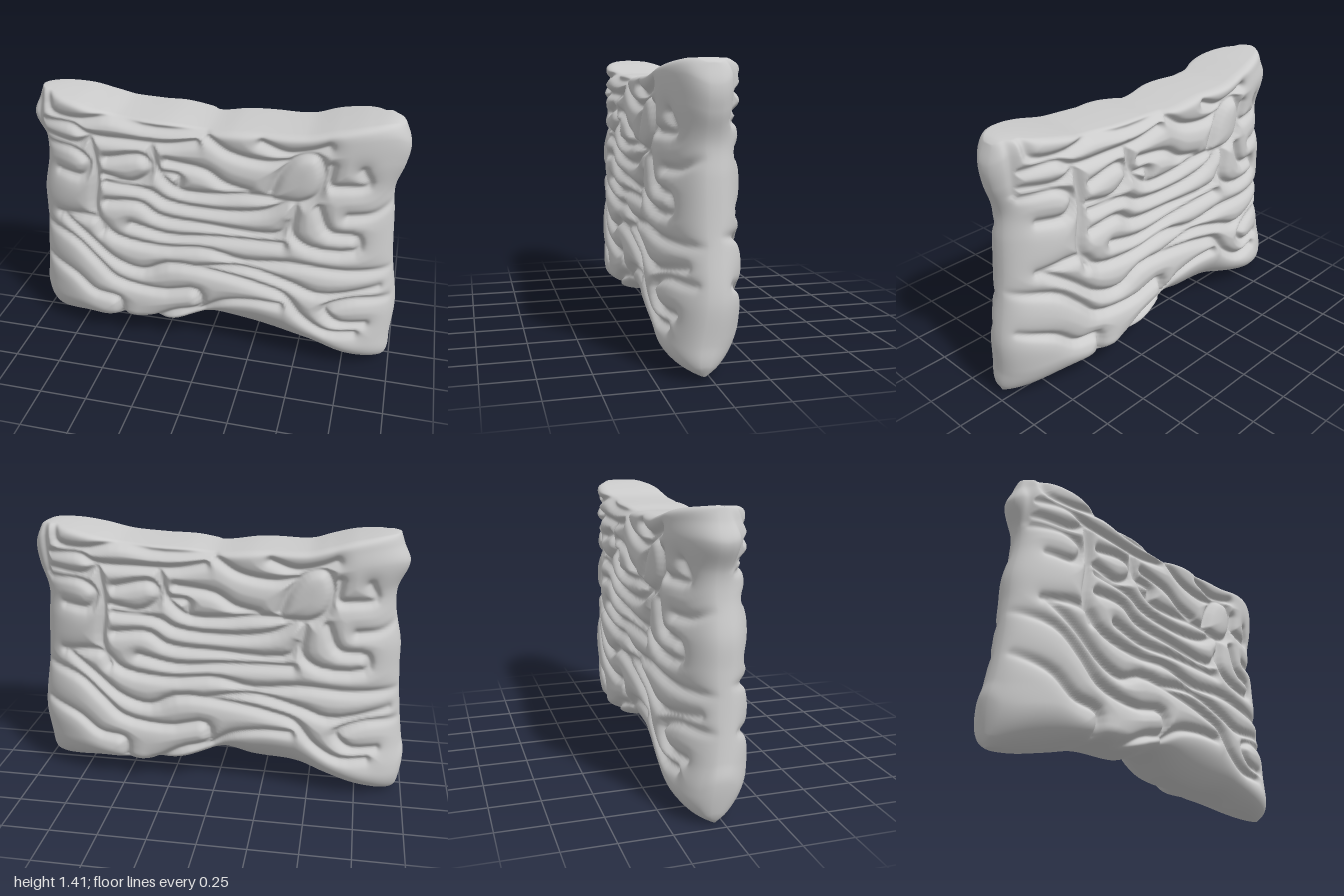
import * as THREE from 'three';
import { mergeVertices } from 'three/addons/utils/BufferGeometryUtils.js';

// Grooves between the ridges, each a run of x, y pairs on the face
const upperGrooves = [
  [-.84, 1.4, -.82, 1.32, -.68, 1.3, -.5, 1.33, -.3, 1.3, 0, 1.3],
  [-.9, 1.4, -.9, 1.3, -.89, 1.15],
  [-.87, 1.26, -.7, 1.27, -.62, 1.23, -.4, 1.22, -.2, 1.22, -.05, 1.25],
  [.01, 1.28, .12, 1.21, .3, 1.18, .42, 1.2],
  [.28, 1.28, .4, 1.24, .52, 1.26, .6, 1.29],
  [-.88, 1.18, -.68, 1.17, -.6, 1.22],
  [-.87, 1.13, -.7, 1.13, -.62, 1.07, -.66, .99, -.8, .99],
  [-.6, 1.2, -.58, 1, -.6, .8, -.56, .68],
  [-.54, 1.01, -.38, .99, -.28, 1.07, -.32, 1.14, -.52, 1.11],
  [-.28, 1.22, -.25, 1.08, -.15, .98, .05, .97, .2, .99, .34, .99],
  [-.2, 1.13, 0, 1.1, .1, 1.04, .22, 1.01],
  [-.22, 1.06, -.14, 1.05, -.14, .99],
];
const middleGrooves = [
  [.33, 1.02, .38, 1.14, .46, 1.23, .55, 1.24, .59, 1.14, .56, 1.03, .48, .98, .36, .98],
  [.62, 1.19, .62, 1.09, .7, 1.08, .8, 1.09, .77, 1.17],
  [.46, .96, .45, .8, .54, .73, .78, .73, .77, .8, .63, .83, .57, .96],
  [-.53, .97, -.3, .95, -.2, .9, .1, .88, .3, .91, .41, .97],
  [-.53, .86, -.35, .87, -.25, .81, 0, .79, .38, .79, .43, .86],
  [-.4, .74, -.2, .7, .05, .72, .4, .73],
  [-.82, .73, -.6, .75, -.5, .66, -.25, .62, 0, .64, .2, .6, .45, .62, .7, .6, .95, .6],
  [.72, .92, .84, .93, .93, .98],
];
const lowerGrooves = [
  [-.8, .73, -.65, .62, -.5, .5, -.35, .46, -.2, .52, .1, .5, .3, .46, .42, .42, .52, .3, .65, .22, .8, .22],
  [-.94, .64, -.74, .59, -.61, .48, -.5, .38, -.25, .34, -.05, .37, -.03, .27, -.18, .21, -.32, .13],
  [-.93, .42, -.76, .36, -.64, .27, -.5, .24, -.49, .14],
  [-.05, .52, .2, .56, .45, .5, .6, .45, .9, .5],
  [.95, .43, .76, .43, .64, .37, .7, .29, .85, .28],
  [-.02, .25, .1, .32, .25, .35, .4, .35],
];
const grooves = [...upperGrooves, ...middleGrooves, ...lowerGrooves].map(run => {
  const pts = [];
  for (let i = 0; i < run.length; i += 2) pts.push(new THREE.Vector3(run[i], run[i + 1], 0));
  return new THREE.CatmullRomCurve3(pts).getPoints(pts.length * 3);
});

// Smooth interpolation through [position, value] pairs
function profile(pairs) {
  return t => {
    let i = 0;
    while (i < pairs.length - 2 && t > pairs[i + 1][0]) i++;
    const at = k => pairs[Math.max(0, Math.min(pairs.length - 1, k))];
    const slope = k => (at(k + 1)[1] - at(k - 1)[1]) / (at(k + 1)[0] - at(k - 1)[0]);
    const [a, b] = [at(i), at(i + 1)], h = b[0] - a[0];
    const s = Math.max(0, Math.min(1, (t - a[0]) / h)), s2 = s * s, s3 = s2 * s;
    return (2 * s3 - 3 * s2 + 1) * a[1] + (s3 - 2 * s2 + s) * h * slope(i)
      + (3 * s2 - 2 * s3) * b[1] + (s3 - s2) * h * slope(i + 1);
  };
}

// Outline of the slab
const bottomEdge = profile([[-1, .05], [-.96, .005], [-.8, .02], [-.6, .07], [-.45, .11], [-.2, .125], [-.02, .18], [.2, .125], [.4, .095], [.58, .085], [.77, .04], [.95, .025], [1, .05]]);
const topEdge = profile([[-1, 1.39], [-.9, 1.415], [-.7, 1.395], [-.56, 1.36], [-.45, 1.335], [-.2, 1.33], [0, 1.31], [.15, 1.325], [.48, 1.34], [.64, 1.375], [.78, 1.4], [.9, 1.405], [.96, 1.37], [1, 1.32]]);
const leftEdge = profile([[0, -.95], [.03, -.98], [.12, -1], [.2, -.985], [.36, -.96], [.5, -.945], [.6, -.94], [.72, -.905], [.8, -.905], [.9, -.955], [.96, -.92], [1, -.9]]);
const rightEdge = profile([[0, .96], [.03, .983], [.1, .985], [.25, .995], [.46, .955], [.64, .936], [.74, .925], [.86, .965], [.95, .975], [1, .94]]);

// Underside bevel height, deepest beside the middle where the arch is carved away
const bevel = profile([[-1, .17], [-.75, .18], [-.55, .1], [-.3, .08], [-.08, .1], [.05, .2], [.2, .26], [.38, .25], [.55, .19], [.75, .14], [1, .14]]);

// Distance from a point to the nearest groove
function grooveDistance(x, y) {
  let best = 1;
  for (const pts of grooves) for (let i = 1; i < pts.length; i++) {
    const a = pts[i - 1], b = pts[i], dx = b.x - a.x, dy = b.y - a.y;
    const t = Math.max(0, Math.min(1, ((x - a.x) * dx + (y - a.y) * dy) / (dx * dx + dy * dy + 1e-9)));
    best = Math.min(best, Math.hypot(x - a.x - t * dx, y - a.y - t * dy));
  }
  return best;
}

// Superelliptic falloff over a given distance from an edge; a higher power is squarer
const round = (d, r, power) => {
  const s = Math.max(0, Math.min(1, d / r));
  return (1 - (1 - s) ** power) ** (1 / power);
};

// One displaced face; side is 1 for the front and -1 for the turned copy behind
function addFace(side, positions, indices) {
  const nx = 210, ny = 160, start = positions.length / 3;
  const ease = t => .35 * t + .65 * (.5 - .5 * Math.cos(Math.PI * t));
  for (let j = 0; j <= ny; j++) for (let i = 0; i <= nx; i++) {
    const u = ease(i / nx), v = ease(j / ny);
    const l = leftEdge(v), r = rightEdge(v), x = l + (r - l) * u;
    const low = bottomEdge(x), high = topEdge(x), y = low + (high - low) * v;
    const mx = x * side, under = bevel(mx);
    const ends = round(Math.min(x - l, r - x), .48, 2.1);
    const thickness = .217 - .012 * v ** 4;
    const body = thickness * ends * round(y - low, under, 2.9 - 5 * under) * round(high - y, .07, 5);
    const d = grooveDistance(mx, y);
    const cut = .15 * Math.exp(-((d / .022) ** 2)) + .09 * Math.exp(-((d / .055) ** 2));
    const edge = i === 0 || j === 0 || i === nx || j === ny;
    // the lower corners twist, right one forward and left one back
    const twist = .045 * x ** 3 * Math.exp(-((v / .16) ** 2));
    positions.push(x, y, twist + (edge ? 0 : side * body * (1 - cut)));
  }
  for (let j = 0; j < ny; j++) for (let i = 0; i < nx; i++) {
    const a = start + j * (nx + 1) + i, b = a + 1, c = a + nx + 1, e = c + 1;
    if (side > 0) indices.push(a, b, e, a, e, c);
    else indices.push(a, e, b, a, c, e);
  }
}

export function createModel() {
  const group = new THREE.Group();
  group.name = 'ridgedSlab';
  const positions = [], indices = [];
  addFace(1, positions, indices);
  addFace(-1, positions, indices);
  let geometry = new THREE.BufferGeometry();
  geometry.setAttribute('position', new THREE.Float32BufferAttribute(positions, 3));
  geometry.setIndex(indices);
  geometry = mergeVertices(geometry, 1e-5);
  geometry.computeVertexNormals();
  // stand on the ground, centred
  geometry.computeBoundingBox();
  const box = geometry.boundingBox;
  geometry.translate(-(box.min.x + box.max.x) / 2, -box.min.y, -(box.min.z + box.max.z) / 2);
  const slab = new THREE.Mesh(geometry, new THREE.MeshStandardMaterial({ color: 0xcccccc }));
  slab.name = 'ridgedBody';
  group.add(slab);
  return group;
}
